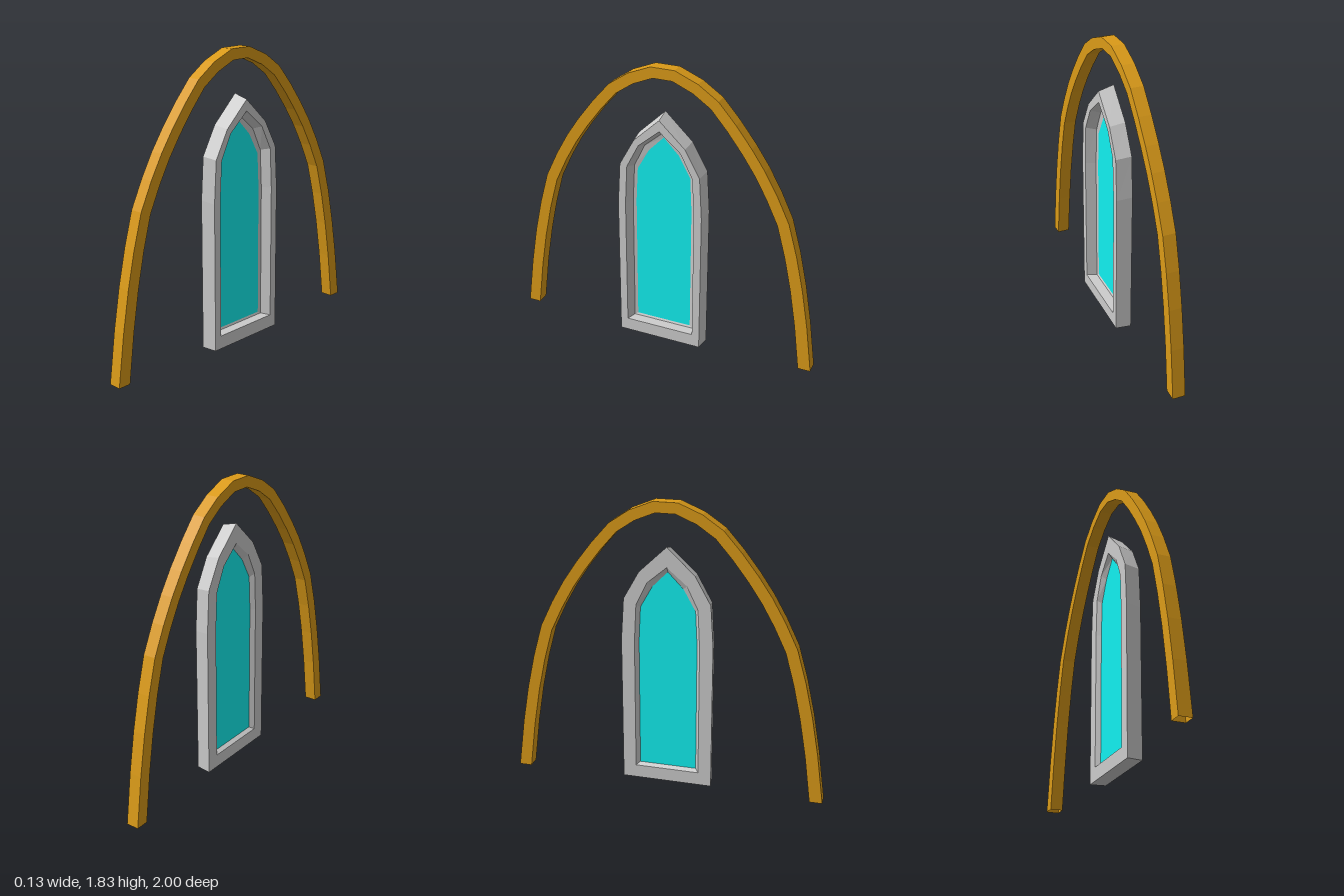
import * as THREE from 'three';

// Skin a list of rings (closed loops of points) with flat-shaded quads.
function loft(rings) {
  const pos = [];
  for (let i = 0; i < rings.length - 1; i++) {
    const n = rings[i].length;
    for (let j = 0; j < n; j++) {
      const k = (j + 1) % n;
      const a = rings[i][j], b = rings[i + 1][j], c = rings[i + 1][k], d = rings[i][k];
      pos.push(...a, ...b, ...c, ...a, ...c, ...d);
    }
  }
  const geo = new THREE.BufferGeometry();
  geo.setAttribute('position', new THREE.Float32BufferAttribute(pos, 3));
  geo.computeVertexNormals();
  return geo;
}

function part(name, geo, color) {
  const mat = new THREE.MeshStandardMaterial({ color, flatShading: true, side: THREE.DoubleSide });
  const mesh = new THREE.Mesh(geo, mat);
  mesh.name = name;
  return mesh;
}

// Pointed window outline in the plane x: half width, sill height, four heights
// up to the apex, and the relative width at the upper shoulder.
function lancet(x, w, sill, y1, y2, y3, apex, upper = 0.6) {
  const half = [[w, sill], [w, y1], [w * 0.94, y2], [w * upper, y3]];
  return [
    ...half.map(([z, y]) => [x, y, z]),
    [x, apex, 0],
    ...half.reverse().map(([z, y]) => [x, y, -z]),
  ];
}

// Faceted arch rib: a rectangular section swept along the outer curve.
function archGeometry() {
  const half = [
    [1, 0], [0.955, 0.32], [0.91, 0.57], [0.86, 0.79], [0.795, 1.02], [0.72, 1.165],
    [0.64, 1.305], [0.555, 1.43], [0.455, 1.56], [0.345, 1.685], [0.22, 1.77], [0.075, 1.83],
  ];
  half[4] = [0.8, 1.0];
  const path = [...half, ...half.slice().reverse().map(([z, y]) => [-z, y])];
  const last = path.length - 1;
  const x0 = -0.065, x1 = 0.015;
  const rings = path.map(([z, y], i) => {
    const p = path[Math.max(i - 1, 0)], q = path[Math.min(i + 1, last)];
    const dz = q[0] - p[0], dy = q[1] - p[1], len = Math.hypot(dz, dy);
    const t = 0.079 - 0.011 * (y / 1.83);
    const foot = i === 0 || i === last;
    const iz = foot ? z - Math.sign(z) * 0.08 : z - (dy / len) * t;
    const iy = foot ? 0 : y + (dz / len) * t;
    return [[x1, y, z], [x0, y, z], [x0, iy, iz], [x1, iy, iz]];
  });
  return loft(rings);
}

export function createModel() {
  const group = new THREE.Group();
  group.name = 'archedWindow';

  group.add(part('arch', archGeometry(), 0xda9a18));

  // Window frame: outer wall, front face, deep reveal, ledge, rear reveal, rear face
  const backOuter = lancet(-0.033, 0.288, 0, 0.95, 1.215, 1.39, 1.555);
  const glassEdge = lancet(-0.006, 0.183, 0.1, 0.94, 1.16, 1.295, 1.395, 0.53);
  group.add(part('windowFrame', loft([
    backOuter,
    lancet(0.063, 0.275, 0, 0.94, 1.205, 1.375, 1.53),
    lancet(0.063, 0.226, 0.085, 0.94, 1.195, 1.345, 1.46),
    lancet(0, 0.203, 0.087, 0.94, 1.18, 1.325, 1.428),
    glassEdge,
    lancet(-0.033, 0.205, 0.085, 0.94, 1.18, 1.325, 1.43),
    backOuter,
  ]), 0xcccccc));

  // Glass pane: flat outline turned to face +x
  const pane = new THREE.ShapeGeometry(
    new THREE.Shape(glassEdge.map(([, y, z]) => new THREE.Vector2(-z, y))));
  pane.rotateY(Math.PI / 2).translate(-0.006, 0, 0);
  group.add(part('glassPane', pane, 0x12f0f0));

  return group;
}
